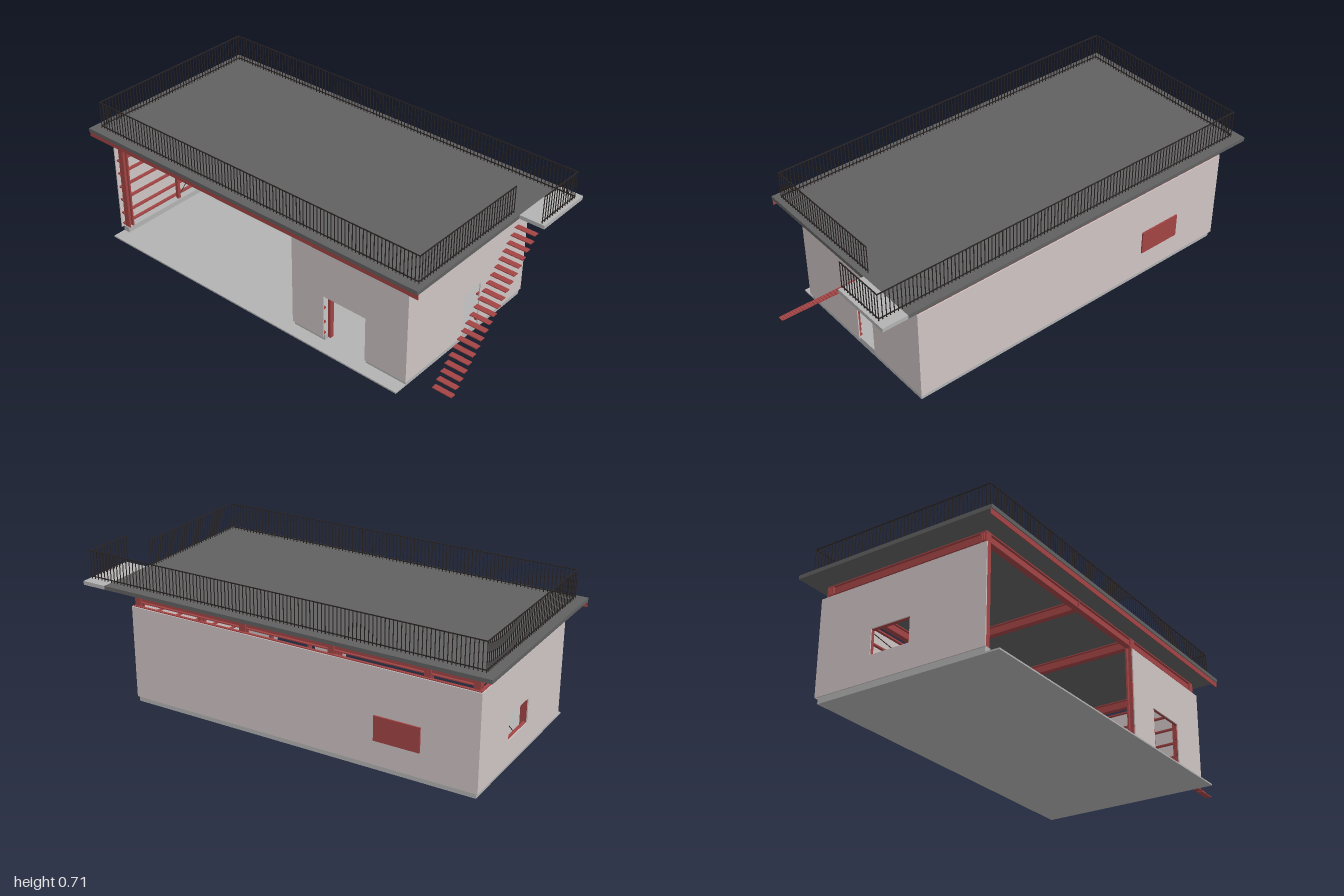
import * as THREE from 'three';

const mat = (color) => new THREE.MeshStandardMaterial({ color, side: THREE.DoubleSide });
const RED = mat(0xa34444), WALL = mat(0xcfc4c4), ROOF = mat(0x616161), PALE = mat(0xb2b2b2), BLACK = mat(0x2a2424);

// Box given by its extents
function box(parent, name, m, x0, x1, y0, y1, z0, z1) {
  const mesh = new THREE.Mesh(new THREE.BoxGeometry(x1 - x0, y1 - y0, z1 - z0), m);
  mesh.position.set((x0 + x1) / 2, (y0 + y1) / 2, (z0 + z1) / 2);
  mesh.name = name;
  parent.add(mesh);
  return mesh;
}

// Thin round or square bar between two points
function bar(parent, name, m, a, b, r) {
  const p = new THREE.Vector3(...a), q = new THREE.Vector3(...b);
  const mesh = new THREE.Mesh(new THREE.CylinderGeometry(r, r, p.distanceTo(q), 6), m);
  mesh.position.copy(p).add(q).multiplyScalar(0.5);
  mesh.quaternion.setFromUnitVectors(new THREE.Vector3(0, 1, 0), q.sub(p).normalize());
  mesh.name = name;
  parent.add(mesh);
}

const rect = (P, a0, a1, y0, y1) => new P().moveTo(a0, y0).lineTo(a1, y0).lineTo(a1, y1).lineTo(a0, y1).closePath();
const T = 0.005; // wall sheet thickness

// Wall sheet with openings; side walls run along z
function wall(parent, name, shape, holes, at, side) {
  holes.forEach((h) => shape.holes.push(rect(THREE.Path, ...h)));
  const geo = new THREE.ExtrudeGeometry(shape, { depth: T, bevelEnabled: false });
  if (side) geo.rotateY(-Math.PI / 2);
  const mesh = new THREE.Mesh(geo, WALL);
  mesh.position.set(side ? at : 0, 0, side ? 0 : at);
  mesh.name = name;
  parent.add(mesh);
}

// Upright I-section column with flanges facing z
function column(parent, x, z, w, y1) {
  const h = w / 2, f = 0.004;
  for (const s of [-1, 1]) box(parent, 'columnFlange', RED, x - h, x + h, 0.03, y1, z + s * (h - f) - f, z + s * (h - f) + f);
  box(parent, 'columnWeb', RED, x - 0.003, x + 0.003, 0.03, y1, z - h, z + h);
}

// Level I-section beam along x or z
function beam(parent, alongX, a0, a1, at, y0, y1) {
  const put = (n, hw, b, t) => alongX ? box(parent, n, RED, a0, a1, b, t, at - hw, at + hw)
    : box(parent, n, RED, at - hw, at + hw, b, t, a0, a1);
  put('beamFlange', 0.014, y0, y0 + 0.005);
  put('beamFlange', 0.014, y1 - 0.005, y1);
  put('beamWeb', 0.003, y0, y1);
}

// Railing run with balusters
function railing(parent, x0, z0, x1, z1) {
  const n = Math.round(Math.hypot(x1 - x0, z1 - z0) / 0.0183), r = 0.002;
  for (const y of [0.586, 0.705]) {
    box(parent, 'rail', BLACK, Math.min(x0, x1) - r, Math.max(x0, x1) + r, y - r, y + r, Math.min(z0, z1) - r, Math.max(z0, z1) + r);
  }
  const geo = new THREE.BoxGeometry(0.003, 0.13, 0.003);
  for (let i = 0; i <= n; i++) {
    const m = new THREE.Mesh(geo, BLACK);
    m.position.set(x0 + (x1 - x0) * i / n, 0.64, z0 + (z1 - z0) * i / n);
    m.name = 'baluster';
    parent.add(m);
  }
}

export function createModel() {
  const model = new THREE.Group();
  const group = (name) => {
    const g = new THREE.Group();
    g.name = name;
    model.add(g);
    return g;
  };

  // Floor slab, front apron and curbs under the walls
  const base = group('foundation');
  box(base, 'floorSlab', PALE, -0.92, 0.785, 0, 0.007, -0.41, 0.475);
  box(base, 'backCurb', PALE, -0.92, 0.785, 0, 0.033, -0.41, -0.375);
  box(base, 'leftCurb', PALE, -0.92, -0.885, 0, 0.033, -0.41, 0.41);
  box(base, 'rightCurb', PALE, 0.75, 0.785, 0, 0.033, -0.41, 0.41);
  box(base, 'frontCurb', PALE, 0.18, 0.35, 0, 0.033, 0.375, 0.41);
  box(base, 'frontCurb', PALE, 0.575, 0.785, 0, 0.033, 0.375, 0.41);

  // Wall sheets
  const walls = group('walls');
  wall(walls, 'backWall', rect(THREE.Shape, -0.93, 0.79, 0.025, 0.47), [[-0.67, -0.455, 0.14, 0.255]], -0.418, false);
  wall(walls, 'sideWall', rect(THREE.Shape, -0.418, 0.418, 0.025, 0.47), [[-0.14, 0.055, 0.14, 0.255]], -0.925, true);
  wall(walls, 'sideWall', new THREE.Shape([[-0.418, 0.025], [-0.085, 0.025], [-0.085, 0.245], [0.03, 0.245], [0.03, 0.025],
    [0.418, 0.025], [0.418, 0.47], [-0.418, 0.47]].map((p) => new THREE.Vector2(...p))), [], 0.79, true);
  wall(walls, 'frontWall', new THREE.Shape([[0.175, 0.025], [0.35, 0.025], [0.35, 0.245], [0.575, 0.245], [0.575, 0.025],
    [0.79, 0.025], [0.79, 0.47], [0.175, 0.47]].map((p) => new THREE.Vector2(...p))), [], 0.414, false);
  box(walls, 'windowShutter', RED, -0.67, -0.455, 0.14, 0.255, -0.425, -0.418);

  // Steel frame: columns, roof beams, door posts
  const frame = group('steelFrame');
  for (const x of [-0.9, 0.2, 0.765]) column(frame, x, 0.39, 0.03, 0.53);
  for (const x of [-0.9, -0.685, -0.24, 0.2, 0.765]) column(frame, x, -0.39, 0.03, 0.53);
  for (const x of [-0.9, 0.765]) column(frame, x, 0.07, 0.016, 0.49);
  for (const z of [-0.39, 0.39]) beam(frame, true, -0.915, 0.78, z, 0.487, 0.53);
  for (const x of [-0.9, -0.24, 0.2, 0.765]) beam(frame, false, -0.4, 0.4, x, 0.487, 0.53);
  for (const x of [0.37, 0.595]) box(frame, 'doorPost', RED, x - 0.008, x + 0.008, 0.03, 0.49, 0.385, 0.405);
  box(frame, 'backPost', RED, 0.42, 0.432, 0.03, 0.49, -0.405, -0.39);

  // Wall girts, broken at the openings
  const girts = group('girts');
  const h = 0.004;
  for (const y of [0.045, 0.104, 0.179, 0.249, 0.323, 0.393, 0.47]) {
    const atWindow = y > 0.14 && y < 0.255, atDoor = y < 0.245;
    const spans = (cut, a, b, c, d) => cut ? [[a, b], [c, d]] : [[a, d]];
    for (const [a, b] of spans(atWindow, -0.92, -0.67, -0.455, 0.78)) box(girts, 'backGirt', RED, a, b, y - h, y + h, -0.413, -0.4);
    for (const [a, b] of spans(atWindow, -0.41, -0.14, 0.055, 0.41)) box(girts, 'leftGirt', RED, -0.925, -0.91, y - h, y + h, a, b);
    for (const [a, b] of spans(atDoor, -0.41, -0.085, 0.03, 0.41)) box(girts, 'rightGirt', RED, 0.772, 0.785, y - h, y + h, a, b);
    for (const [a, b] of spans(atDoor, 0.18, 0.35, 0.575, 0.78)) box(girts, 'frontGirt', RED, a, b, y - h, y + h, 0.402, 0.414);
  }

  // Window jambs and sills
  for (const x of [-0.674, -0.451]) box(girts, 'backJamb', RED, x - h, x + h, 0.104, 0.323, -0.413, -0.4);
  for (const z of [-0.144, 0.059]) box(girts, 'leftJamb', RED, -0.925, -0.91, 0.104, 0.323, z - h, z + h);
  for (const y of [0.138, 0.257]) {
    box(girts, 'backWindowRail', RED, -0.67, -0.455, y - h, y + h, -0.413, -0.4);
    box(girts, 'leftWindowRail', RED, -0.925, -0.91, y - h, y + h, -0.14, 0.055);
  }

  // Cross bracing in the back-left corner bays
  for (const [p, q] of [[0.05, 0.46], [0.46, 0.05]]) {
    bar(frame, 'backBrace', BLACK, [-0.885, p, -0.39], [-0.7, q, -0.39], 0.0018);
    bar(frame, 'sideBrace', BLACK, [-0.9, p, 0.06], [-0.9, q, -0.375], 0.0018);
  }

  // Roof deck, front fascia and stair landing
  const roof = group('roof');
  box(roof, 'roofDeck', ROOF, -1, 0.88, 0.555, 0.573, -0.49, 0.49);
  box(roof, 'frontFascia', RED, -1, 0.88, 0.531, 0.555, 0.482, 0.486);
  box(roof, 'landing', PALE, 0.88, 1, 0.555, 0.573, -0.49, -0.195);

  // Roof railing, open at the stair
  const rails = group('roofRailing');
  const corners = [[0.855, -0.19], [0.855, 0.45], [-0.955, 0.45], [-0.955, -0.447], [0.985, -0.447], [0.985, -0.2]];
  for (let i = 0; i < corners.length - 1; i++) railing(rails, ...corners[i], ...corners[i + 1]);

  // Open stair of floating treads
  const stair = group('stair');
  for (let i = 0; i < 21; i++) {
    const z = 0.358 - 0.0262 * i, y = 0.025 + 0.0256 * i;
    box(stair, 'tread', RED, 0.888, 0.985, y - 0.002, y + 0.002, z - 0.0135, z + 0.0135);
  }
  return model;
}
